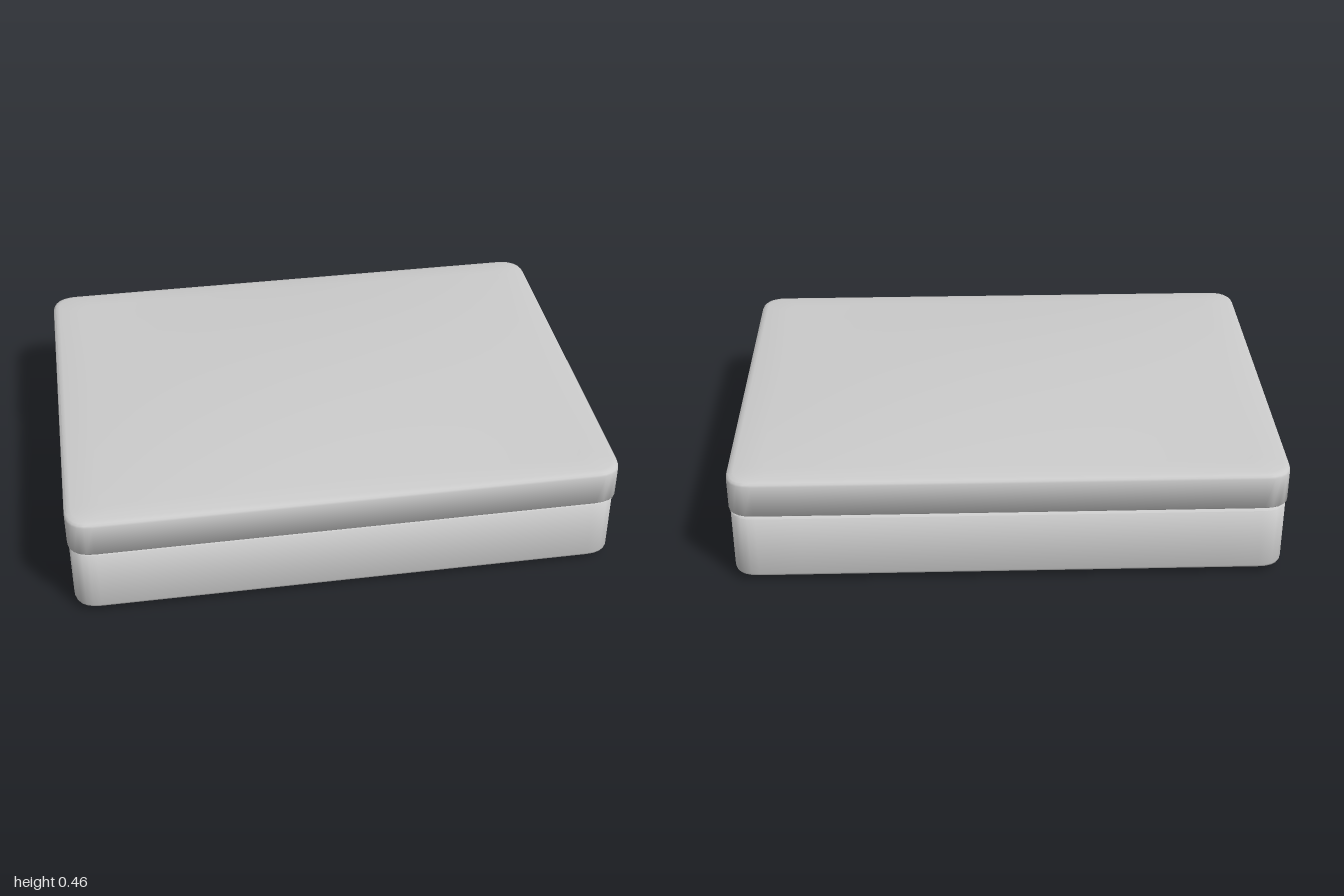
import * as THREE from 'three';
import { toCreasedNormals } from 'three/addons/utils/BufferGeometryUtils.js';

const SIDE_STEPS = 12, CORNER_STEPS = 6, CAP_RINGS = 10;

// Rounded rectangle, counter-clockwise from above, with subdivided sides
function outline(w, d, r) {
  const corners = [[1, -1], [-1, -1], [-1, 1], [1, 1]];
  const pts = [];
  corners.forEach(([sx, sz], k) => {
    const c = new THREE.Vector2(sx * w, sz * d);
    const onX = new THREE.Vector2(sx * w, sz * (d - r));
    const onZ = new THREE.Vector2(sx * (w - r), sz * d);
    const [from, to] = k % 2 ? [onZ, onX] : [onX, onZ];
    const [nx, nz] = corners[(k + 1) % 4];
    const next = k % 2
      ? new THREE.Vector2(nx * w, nz * (d - r))
      : new THREE.Vector2(nx * (w - r), nz * d);
    pts.push(...new THREE.QuadraticBezierCurve(from, c, to).getPoints(CORNER_STEPS));
    for (let i = 1; i < SIDE_STEPS; i++) pts.push(to.clone().lerp(next, i / SIDE_STEPS));
  });
  return pts;
}

// Closed body: wall profile of [inset, y] from bottom to top, with caps bulging by the given heights
function body(w, d, profile, bulgeBottom, bulgeTop) {
  const rings = [];
  const ring = (inset, y, scale, bulge) => {
    const hw = w - inset, hd = d - inset;
    rings.push(outline(hw, hd, 0.095 - inset).map((p) => {
      const u = p.x * scale / hw, v = p.y * scale / hd;
      return [p.x * scale, y + bulge * (1 - u * u) * (1 - v * v), p.y * scale];
    }));
  };
  const first = profile[0], last = profile[profile.length - 1];
  for (let i = 0; i < CAP_RINGS; i++) ring(...first, i / CAP_RINGS, bulgeBottom);
  profile.forEach(([inset, y]) => ring(inset, y, 1, 0));
  for (let i = CAP_RINGS - 1; i >= 0; i--) ring(...last, i / CAP_RINGS, bulgeTop);

  const n = rings[0].length, index = [];
  for (let i = 0; i < rings.length - 1; i++) {
    for (let j = 0; j < n; j++) {
      const a = i * n + j, b = i * n + (j + 1) % n;
      index.push(a, b, b + n, a, b + n, a + n);
    }
  }
  const geo = new THREE.BufferGeometry();
  geo.setAttribute('position', new THREE.Float32BufferAttribute(rings.flat(2), 3));
  geo.setIndex(index);
  return toCreasedNormals(geo, 0.9);
}

export function createModel() {
  const group = new THREE.Group();
  group.name = 'flatBox';
  const material = new THREE.MeshStandardMaterial({ color: 0xcccccc });
  const add = (name, geometry, z) => {
    const mesh = new THREE.Mesh(geometry, material);
    mesh.name = name;
    mesh.position.z = z;
    group.add(mesh);
  };

  // Lower tray with a slightly bellied underside
  add('base', body(0.995, 0.748,
    [[0.025, 0.022], [0.01, 0.025], [0.003, 0.03], [0, 0.038], [0, 0.271], [0.004, 0.275]],
    -0.022, 0), -0.004);

  // Recessed neck that shows as the seam
  add('neck', body(0.965, 0.718, [[0, 0.26], [0, 0.3]], 0, 0), 0);

  // Lid with a softly domed top
  add('lid', body(1, 0.755,
    [[0.004, 0.283], [0, 0.287], [0, 0.405], [0.003, 0.412], [0.01, 0.417], [0.025, 0.421]],
    0, 0.037), 0);

  return group;
}
